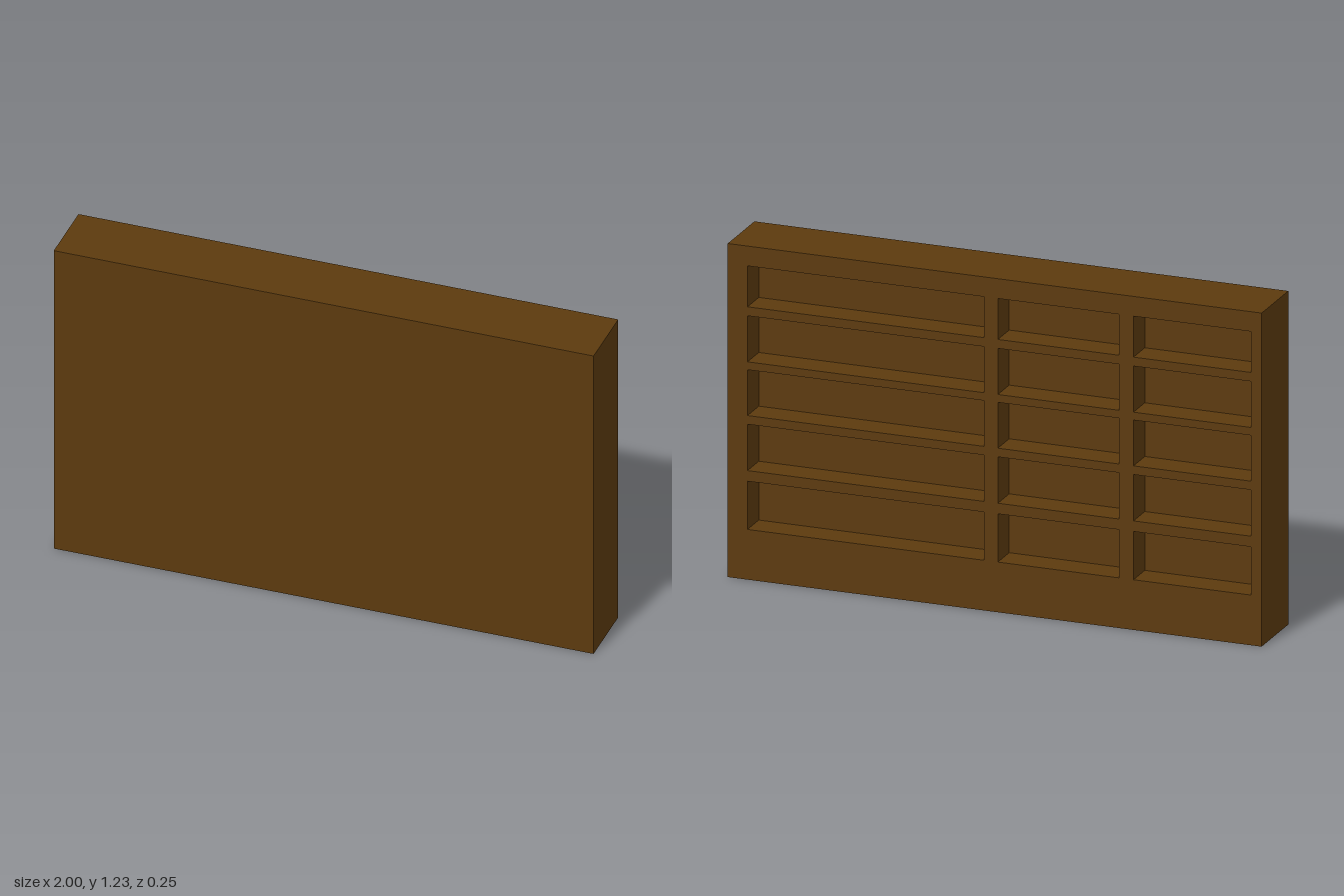
import * as THREE from 'three';

const W = 2, H = 1.23, D = 0.252, RECESS = 0.107;

// Compartment spans: columns in x, rows in y
const COLUMNS = [[0.04, 0.926], [-0.466, -0.012], [-0.961, -0.52]];
const ROWS = [[1.006, 1.157], [0.803, 0.973], [0.605, 0.774], [0.402, 0.573], [0.185, 0.363]];

function rectangle(target, x0, x1, y0, y1) {
  target.moveTo(x0, y0);
  target.lineTo(x1, y0);
  target.lineTo(x1, y1);
  target.lineTo(x0, y1);
  target.closePath();
  return target;
}

export function createModel() {
  const group = new THREE.Group();
  group.name = 'shelfUnit';
  const wood = new THREE.MeshStandardMaterial({ color: 0x5c3a0e });

  // Solid panel: plain front, and the floor of every compartment
  const panel = new THREE.Mesh(new THREE.BoxGeometry(W, H, D - RECESS), wood);
  panel.name = 'solidPanel';
  panel.position.set(0, H / 2, RECESS / 2);
  group.add(panel);

  // Shelf frame on the rear, with one opening per compartment
  const outline = rectangle(new THREE.Shape(), -W / 2, W / 2, 0, H);
  for (const [x0, x1] of COLUMNS) {
    for (const [y0, y1] of ROWS) {
      outline.holes.push(rectangle(new THREE.Path(), x0, x1, y0, y1));
    }
  }
  const frame = new THREE.Mesh(
    new THREE.ExtrudeGeometry(outline, { depth: RECESS, bevelEnabled: false }), wood);
  frame.name = 'shelfFrame';
  frame.position.z = -D / 2;
  group.add(frame);

  return group;
}
